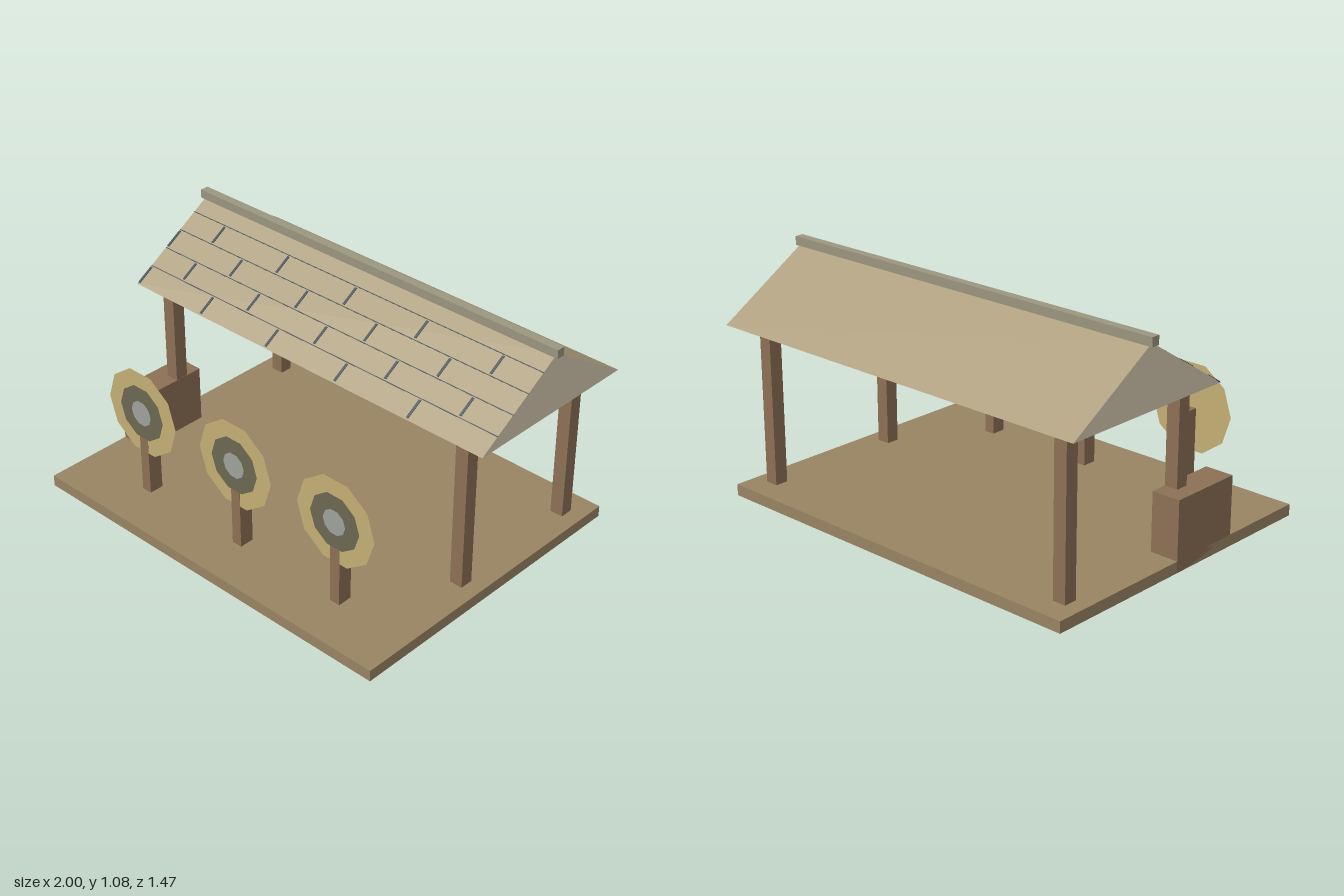
import * as THREE from 'three';

const mat = (color, side = THREE.FrontSide) =>
  new THREE.MeshStandardMaterial({ color, side, flatShading: true });

const WOOD = mat(0x8c7055);
const FLOOR = mat(0x998463);
const ROOF = mat(0xaa9c7a);
const GABLE = mat(0xd8cbb2);
const RIDGE = mat(0x9c967f);
const SEAM = mat(0x35424a);
const STRAW = mat(0xc4ae74, THREE.DoubleSide);
const RING = mat(0x6c6852, THREE.DoubleSide);
const BULL = mat(0x9fa19c, THREE.DoubleSide);

// Box given by its minimum and maximum corners
function box(name, material, [x0, y0, z0], [x1, y1, z1]) {
  const mesh = new THREE.Mesh(new THREE.BoxGeometry(x1 - x0, y1 - y0, z1 - z0), material);
  mesh.position.set((x0 + x1) / 2, (y0 + y1) / 2, (z0 + z1) / 2);
  mesh.name = name;
  return mesh;
}

const FOOT = 0.001; // uprights pass down through the floor
const ROOF_HALF = 0.983;
const EAVE = { y: 0.773, z: 0.157 };
const APEX = { y: 1.046, z: -0.281 };
const BACK_EAVE_Z = 2 * APEX.z - EAVE.z;

// Solid gabled prism with tiled seams on the front slope
function createRoof() {
  const roof = new THREE.Group();
  roof.name = 'roof';

  const section = new THREE.Shape([
    new THREE.Vector2(-EAVE.z, EAVE.y),
    new THREE.Vector2(-BACK_EAVE_Z, EAVE.y),
    new THREE.Vector2(-APEX.z, APEX.y),
  ]);
  const prism = new THREE.ExtrudeGeometry(section, { depth: 2 * ROOF_HALF, bevelEnabled: false });
  prism.translate(0, 0, -ROOF_HALF).rotateY(Math.PI / 2);
  const body = new THREE.Mesh(prism, [GABLE, ROOF]);
  body.name = 'roofBody';
  roof.add(body);

  roof.add(box('ridgeCap', RIDGE, [-1, 1.037, -0.301], [1, 1.077, -0.261]));

  // Seams lie in the plane of the front slope: local y runs from eave to ridge
  const run = EAVE.z - APEX.z, rise = APEX.y - EAVE.y;
  const slope = Math.hypot(run, rise);
  const seams = new THREE.Group();
  seams.name = 'tileSeams';
  seams.position.set(0, EAVE.y, EAVE.z);
  seams.rotation.x = -Math.atan2(run, rise);
  const step = slope * 0.204;
  for (let row = 0; row < 4; row++) {
    const top = (row + 1) * step;
    seams.add(box('rowSeam', SEAM, [-ROOF_HALF, top - 0.002, -0.002], [ROOF_HALF, top + 0.002, 0.001]));
    for (let i = 0; i < 5; i++) {
      const x = (row % 2 ? -0.782 : -0.977) + i * 0.393;
      seams.add(box('tileSeam', SEAM, [x - 0.006, top - step * 0.92, -0.003], [x + 0.006, top - step * 0.06, 0.002]));
    }
  }
  roof.add(seams);
  return roof;
}

// Ten-sided flat target on a post
function createTarget(x) {
  const target = new THREE.Group();
  target.name = 'target';
  target.add(box('targetPost', WOOD, [x - 0.025, FOOT, 0.46], [x + 0.025, 0.456, 0.528]));
  const discs = [
    ['targetFace', 0.208, STRAW, 0.527],
    ['targetRing', 0.132, RING, 0.531],
    ['targetCentre', 0.06, BULL, 0.534],
  ];
  for (const [name, radius, material, z] of discs) {
    const disc = new THREE.Mesh(new THREE.CircleGeometry(radius, 10), material);
    disc.name = name;
    disc.position.set(x, 0.457, z);
    target.add(disc);
  }
  return target;
}

export function createModel() {
  const model = new THREE.Group();
  model.name = 'shootingRange';

  model.add(box('floor', FLOOR, [-0.945, 0, -0.737], [0.945, 0.052, 0.737]));

  // Four roof posts
  for (const x of [-0.842, 0.842]) {
    for (const z of [0.073, -0.597]) {
      model.add(box('roofPost', WOOD, [x - 0.031, FOOT, z - 0.031], [x + 0.031, 0.738, z + 0.031]));
    }
  }

  model.add(createRoof());
  model.add(box('storageChest', WOOD, [-0.945, FOOT, -0.034], [-0.81, 0.318, 0.315]));
  for (const x of [-0.562, 0, 0.562]) model.add(createTarget(x));
  return model;
}
